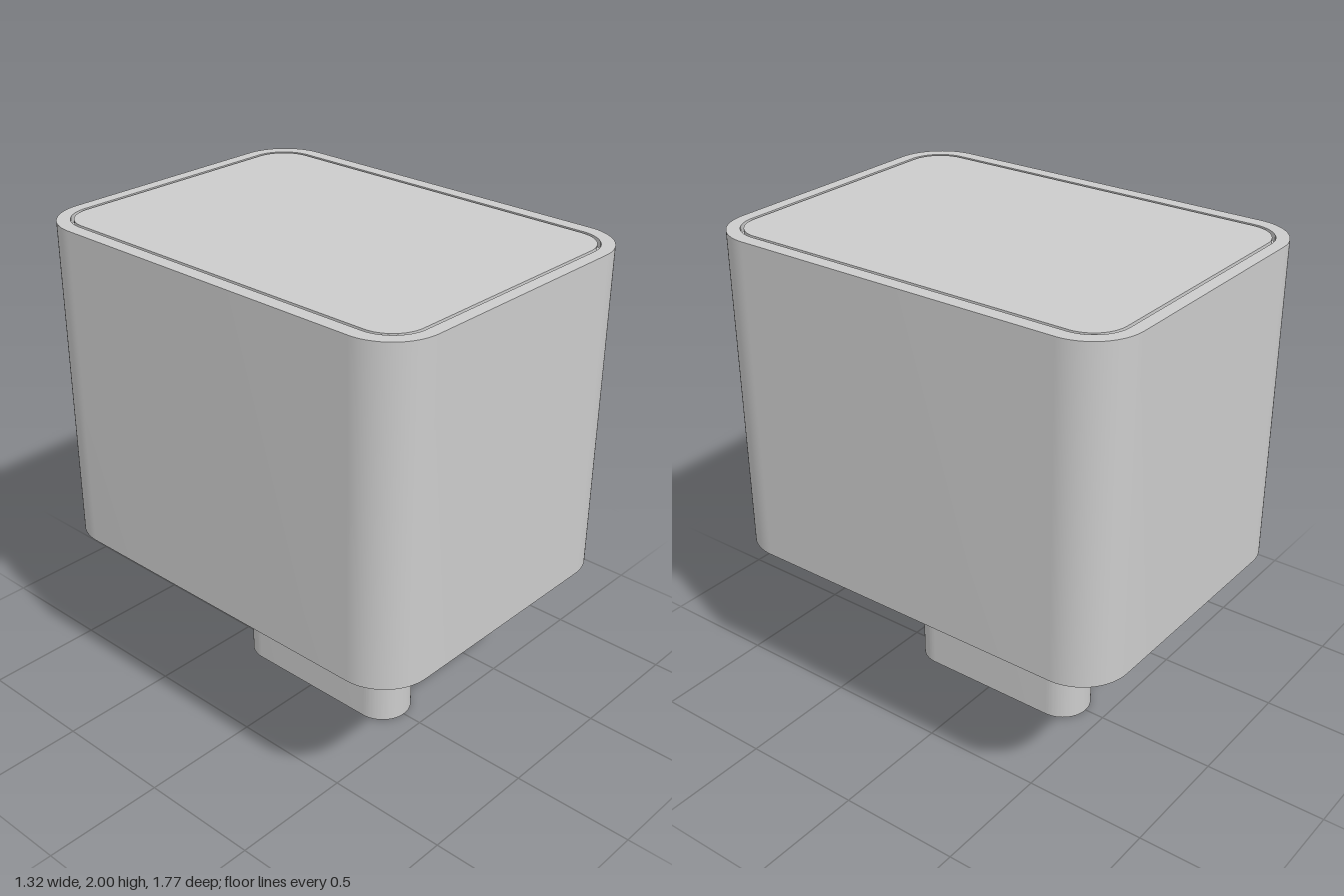
import * as THREE from 'three';
import { toCreasedNormals } from 'three/addons/utils/BufferGeometryUtils.js';

const grey = new THREE.MeshStandardMaterial({ color: 0xcccccc });
grey.name = 'light grey';

// Rounded rectangle outline with half sizes w, d and corner radius r
function trace(path, w, d, r) {
  path.moveTo(w, -d + r);
  path.lineTo(w, d - r);
  path.absarc(w - r, d - r, r, 0, Math.PI / 2);
  path.lineTo(-w + r, d);
  path.absarc(-w + r, d - r, r, Math.PI / 2, Math.PI);
  path.lineTo(-w, -d + r);
  path.absarc(-w + r, -d + r, r, Math.PI, Math.PI * 1.5);
  path.lineTo(w - r, -d);
  path.absarc(w - r, -d + r, r, Math.PI * 1.5, Math.PI * 2);
  return path;
}

// Upright prism from y0 to y1, with an optional hole right through
function prism(name, outer, hole, y0, y1) {
  const shape = trace(new THREE.Shape(), ...outer);
  if (hole) shape.holes.push(trace(new THREE.Path(), ...hole));
  const geo = new THREE.ExtrudeGeometry(shape, { depth: y1 - y0, bevelEnabled: false, curveSegments: 16 });
  geo.rotateX(-Math.PI / 2);
  geo.translate(0, y0, 0);
  const mesh = new THREE.Mesh(toCreasedNormals(geo, 0.6), grey);
  mesh.name = name;
  return mesh;
}

export function createModel() {
  const group = new THREE.Group();
  group.name = 'adapter';
  const inner = [0.605, 0.835, 0.145];
  group.add(
    // Housing wall and the underside around the plug
    prism('housing', [0.66, 0.885, 0.2], inner, 0.68, 2),
    prism('underside', inner, [0.127, 0.422, 0.126], 0.68, 0.71),
    prism('core', inner, null, 0.71, 1.97),
    // Top plate, set apart from the housing by a fine groove
    prism('topPlate', [0.592, 0.822, 0.132], null, 1.97, 2),
    // Hollow plug shell
    prism('plugShell', [0.12, 0.415, 0.119], [0.105, 0.4, 0.104], 0, 0.71),
  );
  return group;
}
